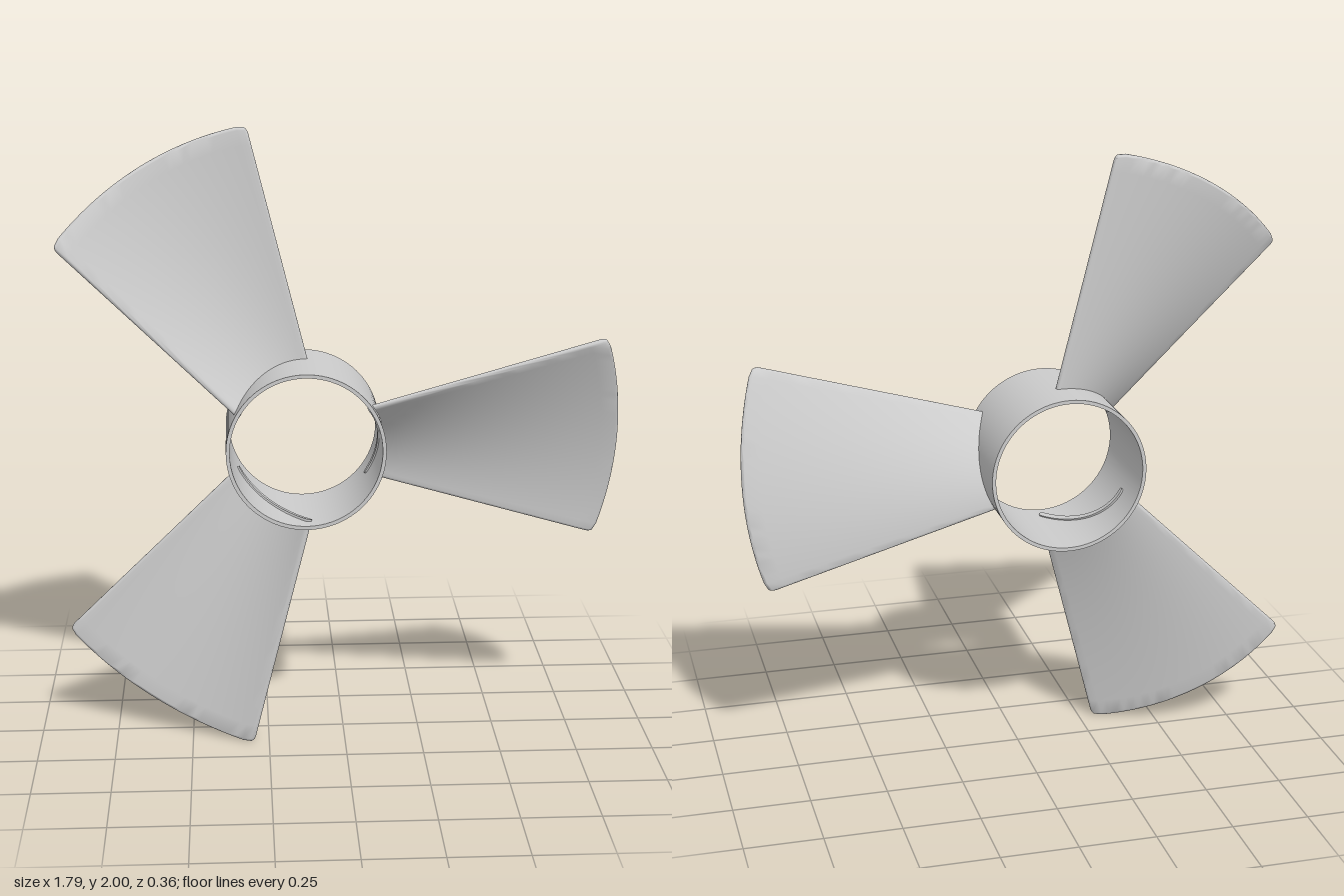
import * as THREE from 'three';
import { toCreasedNormals } from 'three/addons/utils/BufferGeometryUtils.js';

const HUB_R = 0.254, BORE_R = 0.242, HUB_HALF = 0.18;
const ROOT_R = 0.236, TIP_R = 1.02, HALF_THICK = 0.01;
const ROOT_ANGLE = 0.595, TIP_ANGLE = 0.352; // half angles of the blade

// Middle surface of a blade: s runs root to tip, t runs across (-1 to 1)
function bladePoint(s, t) {
  const d = Math.min(1, Math.max(0, (Math.abs(t) - 0.93) / 0.07));
  const tipR = TIP_R - 0.028 * (1 - Math.sqrt(1 - d * d)); // rounded tip corners
  const a = t * ROOT_ANGLE, b = t * TIP_ANGLE;
  return new THREE.Vector3(
    THREE.MathUtils.lerp(ROOT_R * Math.cos(a), tipR * Math.cos(b), s),
    THREE.MathUtils.lerp(ROOT_R * Math.sin(a), tipR * Math.sin(b), s),
    0.09 * t + 0.04 * t * t // curved pitch
  );
}

function bladeNormal(s, t) {
  const e = 0.002, tc = THREE.MathUtils.clamp(t, -0.92, 0.92);
  const ds = bladePoint(s + e, tc).sub(bladePoint(s - e, tc));
  const dt = bladePoint(s, tc + e).sub(bladePoint(s, tc - e));
  return ds.cross(dt).normalize();
}

function bladeGeometry() {
  const ROUND = 4, ACROSS = 28, ALONG = 16;
  // Stations across: quarter-round edges (phi) on both sides of the face
  const cols = [];
  for (let i = 0; i < ROUND; i++) cols.push({ base: -1, phi: -Math.PI / 2 * (1 - i / ROUND) });
  for (let i = 0; i <= ACROSS; i++) cols.push({ base: -1 + 2 * i / ACROSS, phi: 0 });
  for (let i = 1; i <= ROUND; i++) cols.push({ base: 1, phi: Math.PI / 2 * i / ROUND });
  const loop = [
    ...cols.map(c => ({ ...c, side: 1 })),
    ...cols.slice().reverse().map(c => ({ ...c, side: -1 })),
  ];
  // Stations along: flat root cap, body, rounded tip
  const tipW = HALF_THICK / (TIP_R - ROOT_R);
  const rows = [{ s: 0, thick: 0 }];
  for (let i = 0; i <= ALONG; i++) rows.push({ s: (1 - tipW) * i / ALONG, thick: 1 });
  for (let i = 1; i <= ROUND; i++) {
    const p = Math.PI / 2 * i / ROUND;
    rows.push({ s: 1 - tipW + tipW * Math.sin(p), thick: Math.cos(p) });
  }

  const pos = [], index = [], n = loop.length;
  rows.forEach(({ s, thick }, i) => {
    const w = HALF_THICK / THREE.MathUtils.lerp(0.135, 0.35, s);
    loop.forEach(({ base, phi, side }, j) => {
      const t = base * (1 - w) + w * Math.sin(phi);
      const h = side * HALF_THICK * thick * Math.cos(phi);
      const p = bladePoint(s, t).addScaledVector(bladeNormal(s, t), h);
      pos.push(p.x, p.y, p.z);
      if (i < rows.length - 1) {
        const k = (j + 1) % n;
        const a = i * n + j, b = a + n, c = i * n + k, d = c + n;
        index.push(a, b, c, b, d, c);
      }
    });
  });
  const g = new THREE.BufferGeometry();
  g.setAttribute('position', new THREE.Float32BufferAttribute(pos, 3));
  g.setIndex(index);
  return toCreasedNormals(g, 0.8);
}

export function createModel() {
  const group = new THREE.Group();
  group.name = 'propeller';
  const material = new THREE.MeshStandardMaterial({ color: 0xcccccc });

  // Thin-walled hub ring, axis along z
  const profile = [
    [HUB_R, -HUB_HALF], [HUB_R, HUB_HALF], [BORE_R, HUB_HALF],
    [BORE_R, -HUB_HALF], [HUB_R, -HUB_HALF],
  ].map(([x, y]) => new THREE.Vector2(x, y));
  const hubGeometry = new THREE.LatheGeometry(profile, 96).rotateX(Math.PI / 2);
  const hub = new THREE.Mesh(toCreasedNormals(hubGeometry, 0.6), material);
  hub.name = 'hub';
  group.add(hub);

  // Three pitched blades
  const geometry = bladeGeometry();
  for (let i = 0; i < 3; i++) {
    const blade = new THREE.Mesh(geometry, material);
    blade.name = 'blade' + (i + 1);
    blade.rotation.z = i * Math.PI * 2 / 3;
    group.add(blade);
  }

  // Hub sits off-centre so the whole propeller is centred on x
  group.children.forEach(m => m.position.set(-0.125, 1, 0));
  return group;
}
